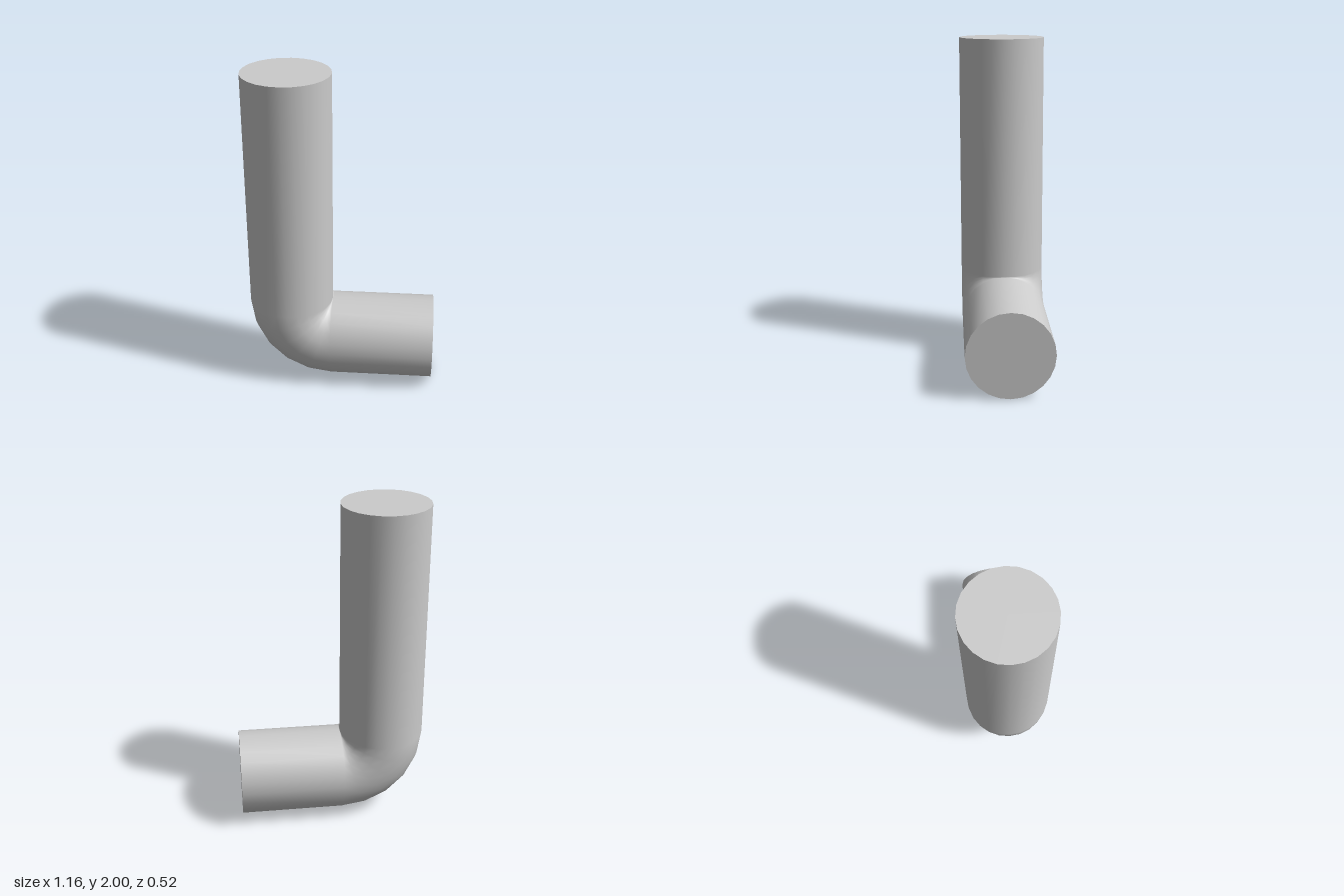
import * as THREE from 'three';

const RADIUS = 0.2625, SIDES = 24, BEND_STEPS = 5;
const PIVOT = { x: -0.055, y: 0.525 }; // inner corner the elbow turns about
const TOP = 2, END = 0.58;

// Tube wall: rings swept down the upright, round the elbow and along the foot
function pipeWall() {
  const rings = [{ angle: 0, dx: 0, dy: TOP - PIVOT.y }];
  for (let i = 0; i <= BEND_STEPS; i++) rings.push({ angle: (i / BEND_STEPS) * Math.PI / 2, dx: 0, dy: 0 });
  rings.push({ angle: Math.PI / 2, dx: END - PIVOT.x, dy: 0 });

  const positions = [], index = [];
  rings.forEach(({ angle, dx, dy }, i) => {
    for (let j = 0; j < SIDES; j++) {
      const a = (j / SIDES) * Math.PI * 2;
      const reach = RADIUS * (1 + Math.cos(a));
      positions.push(
        PIVOT.x + dx - Math.cos(angle) * reach,
        PIVOT.y + dy - Math.sin(angle) * reach,
        RADIUS * Math.sin(a));
      if (i === rings.length - 1) continue;
      const p = i * SIDES + j, q = i * SIDES + (j + 1) % SIDES;
      index.push(p, p + SIDES, q, q, p + SIDES, q + SIDES);
    }
  });
  const geometry = new THREE.BufferGeometry();
  geometry.setAttribute('position', new THREE.Float32BufferAttribute(positions, 3));
  geometry.setIndex(index);
  geometry.computeVertexNormals();
  return geometry;
}

export function createModel() {
  const group = new THREE.Group();
  group.name = 'elbowPipe';
  const material = new THREE.MeshStandardMaterial({ color: 0xcccccc });
  const add = (name, geometry) => {
    const mesh = new THREE.Mesh(geometry, material);
    mesh.name = name;
    group.add(mesh);
    return mesh;
  };

  add('pipeWall', pipeWall());

  // Flat discs closing both ends
  add('topCap', new THREE.CircleGeometry(RADIUS, SIDES).rotateX(-Math.PI / 2))
    .position.set(PIVOT.x - RADIUS, TOP, 0);
  add('sideCap', new THREE.CircleGeometry(RADIUS, SIDES).rotateY(Math.PI / 2))
    .position.set(END, PIVOT.y - RADIUS, 0);

  return group;
}
